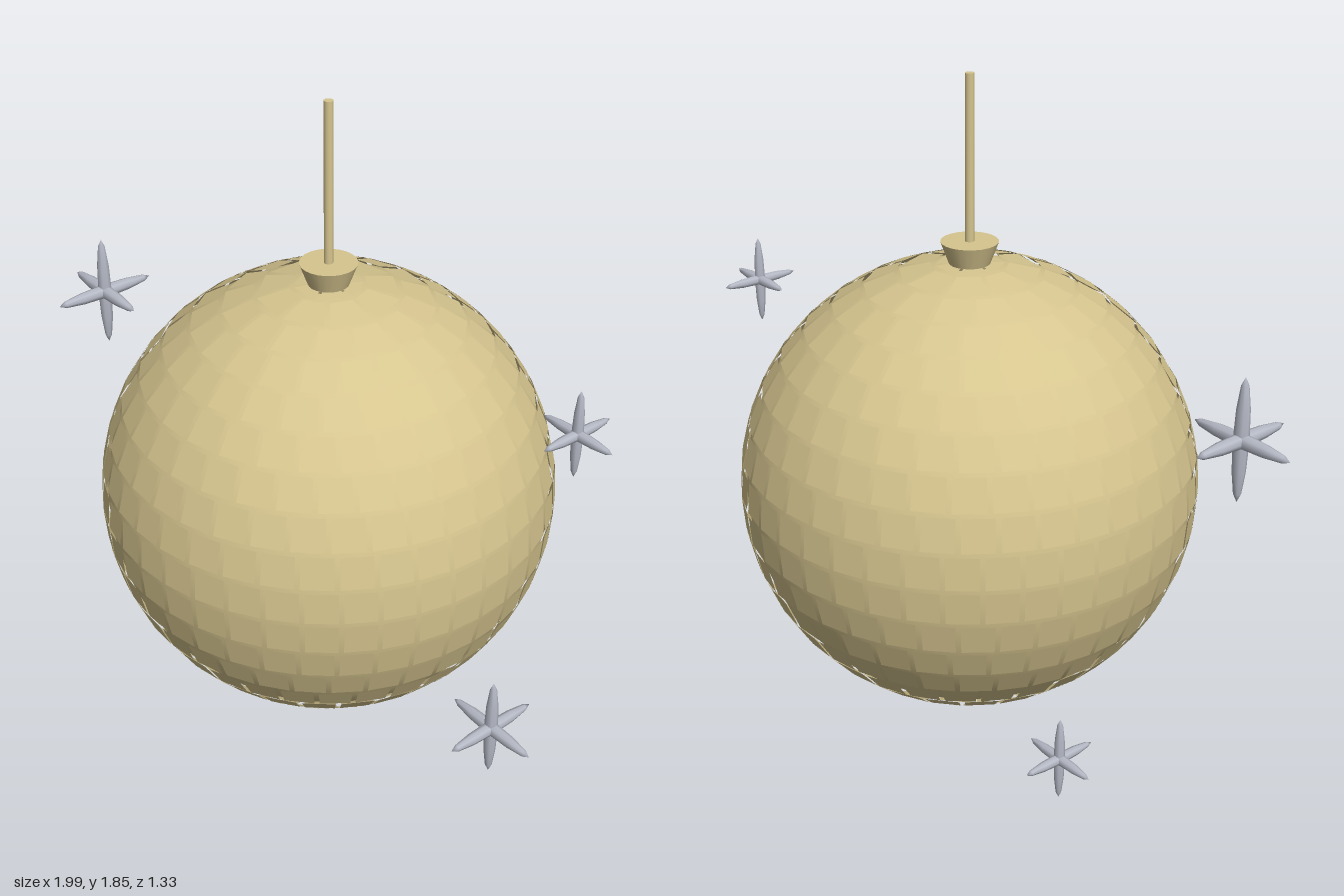
import * as THREE from 'three';

const gold = new THREE.MeshStandardMaterial({ color: 0xd6c58f, side: THREE.DoubleSide });
gold.name = 'pale gold';
const silver = new THREE.MeshStandardMaterial({ color: 0xb6bac6 });
silver.name = 'silver';

const CENTER = [-0.006, 0.664, 0];

function add(parent, name, geometry, material, x = 0, y = 0, z = 0) {
  const mesh = new THREE.Mesh(geometry, material);
  mesh.name = name;
  mesh.position.set(x, y, z);
  parent.add(mesh);
  return mesh;
}

// Rows of separate flat tiles; each row has fewer tiles toward the poles
function tileGeometry(radius, rows, around) {
  const positions = [];
  const step = Math.PI / rows;
  const point = (theta, phi) => [
    radius * Math.sin(theta) * Math.cos(phi),
    radius * Math.cos(theta),
    radius * Math.sin(theta) * Math.sin(phi),
  ];
  for (let row = 0; row < rows; row++) {
    const top = (row + 0.06) * step, bottom = (row + 0.94) * step;
    const count = Math.max(6, Math.round(around * Math.sin((row + 0.5) * step)));
    for (let i = 0; i < count; i++) {
      const start = ((i + 0.07) / count) * Math.PI * 2;
      const end = ((i + 0.93) / count) * Math.PI * 2;
      const a = point(top, start), b = point(top, end);
      const c = point(bottom, end), d = point(bottom, start);
      positions.push(...a, ...b, ...c, ...a, ...c, ...d);
    }
  }
  const geometry = new THREE.BufferGeometry();
  geometry.setAttribute('position', new THREE.Float32BufferAttribute(positions, 3));
  geometry.computeVertexNormals();
  return geometry;
}

// Six-pointed sparkle made of three crossed slender spindles
function sparkle(x, y, z, size) {
  const group = new THREE.Group();
  group.name = 'sparkle';
  group.position.set(x, y, z);
  const spindle = (name, length) => {
    const geometry = new THREE.SphereGeometry(1, 8, 6);
    geometry.scale(size * 0.12, length, size * 0.12);
    return add(group, name, geometry, silver);
  };
  spindle('verticalRay', size);
  spindle('sideRay', size * 0.92).rotation.z = Math.PI / 2;
  spindle('depthRay', size * 0.92).rotation.x = Math.PI / 2;
  return group;
}

export function createModel() {
  const model = new THREE.Group();
  model.name = 'mirrorBall';

  // Ball core and its floating tiles
  add(model, 'ballCore', new THREE.SphereGeometry(0.645, 48, 32), gold, ...CENTER);
  add(model, 'mirrorTiles', tileGeometry(0.663, 20, 40), gold, ...CENTER);

  // Flared cap and hanging rod
  add(model, 'cap', new THREE.CylinderGeometry(0.081, 0.055, 0.07, 24), gold, CENTER[0], 1.35, 0);
  add(model, 'rod', new THREE.CylinderGeometry(0.013, 0.013, 0.49, 12), gold, CENTER[0], 1.605, 0);

  // Sparkles around the ball
  const sparkles = [
    [-0.835, 1.023, 0.22, 0.177],
    [0.735, 1.112, -0.225, 0.132],
    [0.855, 0.4, 0.145, 0.154],
    [-0.717, 0.195, -0.27, 0.124],
  ];
  for (const values of sparkles) model.add(sparkle(...values));
  return model;
}
